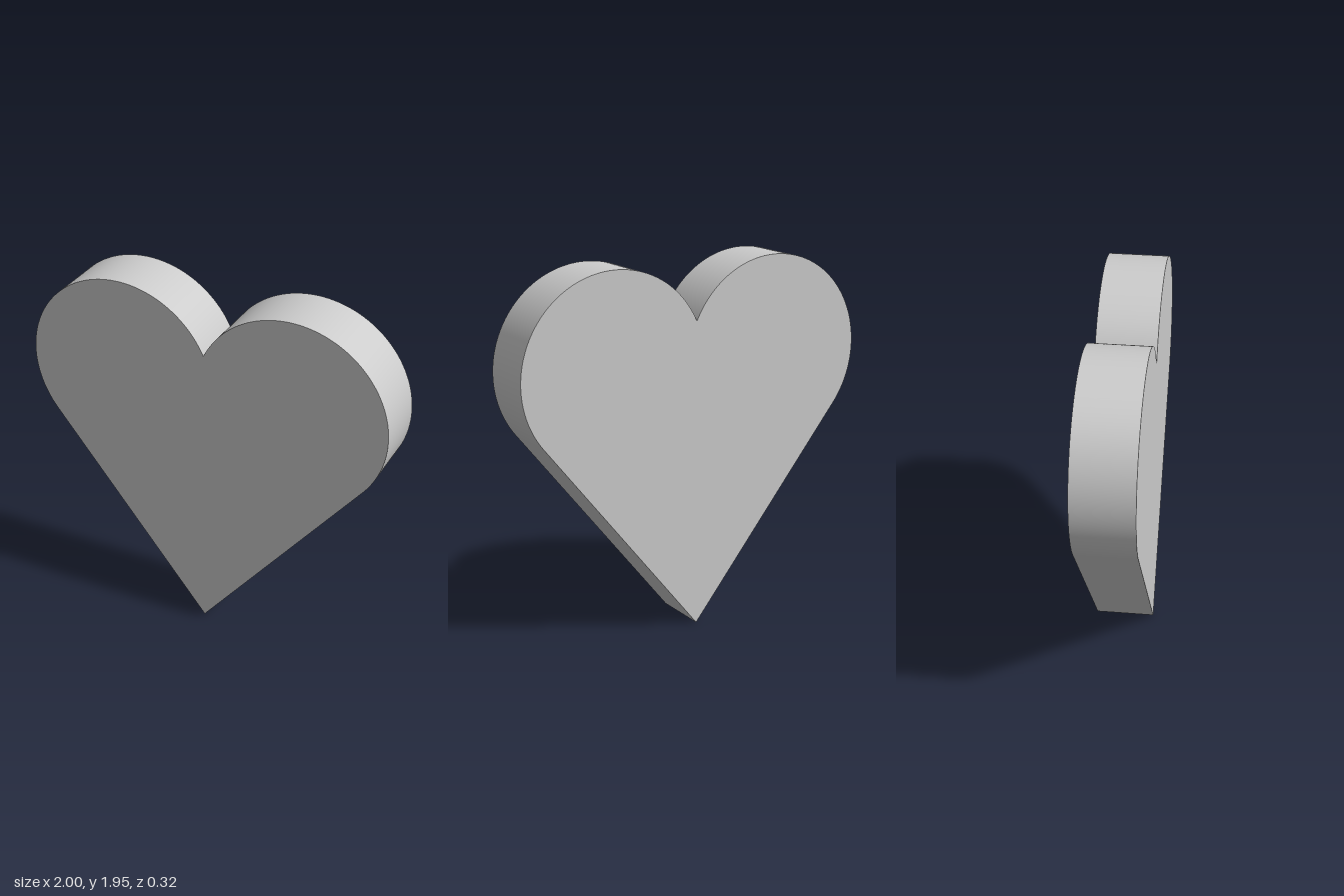
import * as THREE from 'three';
import { toCreasedNormals } from 'three/addons/utils/BufferGeometryUtils.js';

const DEPTH = 0.316;
const R = 0.524;          // lobe radius
const CX = 1 - R;         // lobe centre
const CY = 1.431;

// Two circular lobes joined to the bottom tip by tangent lines
function heartShape() {
  const dist = Math.hypot(CX, CY);
  const tangent = Math.atan2(CY, CX) - Math.asin(R / dist) - Math.PI / 2;
  const notch = Math.PI - Math.acos(CX / R);
  const shape = new THREE.Shape();
  shape.absarc(CX, CY, R, tangent, notch, false);
  shape.absarc(-CX, CY, R, Math.PI - notch, Math.PI - tangent, false);
  shape.lineTo(0, 0);
  shape.closePath();
  return shape;
}

export function createModel() {
  const group = new THREE.Group();
  group.name = 'heart';

  // Flat slab with smooth lobes and sharp rims
  const slab = new THREE.ExtrudeGeometry(heartShape(), {
    depth: DEPTH, bevelEnabled: false, curveSegments: 64,
  });
  slab.translate(0, 0, -DEPTH / 2);

  const body = new THREE.Mesh(
    toCreasedNormals(slab, 0.5),
    new THREE.MeshStandardMaterial({ color: 0xcccccc }),
  );
  body.name = 'heartBody';
  group.add(body);
  return group;
}
